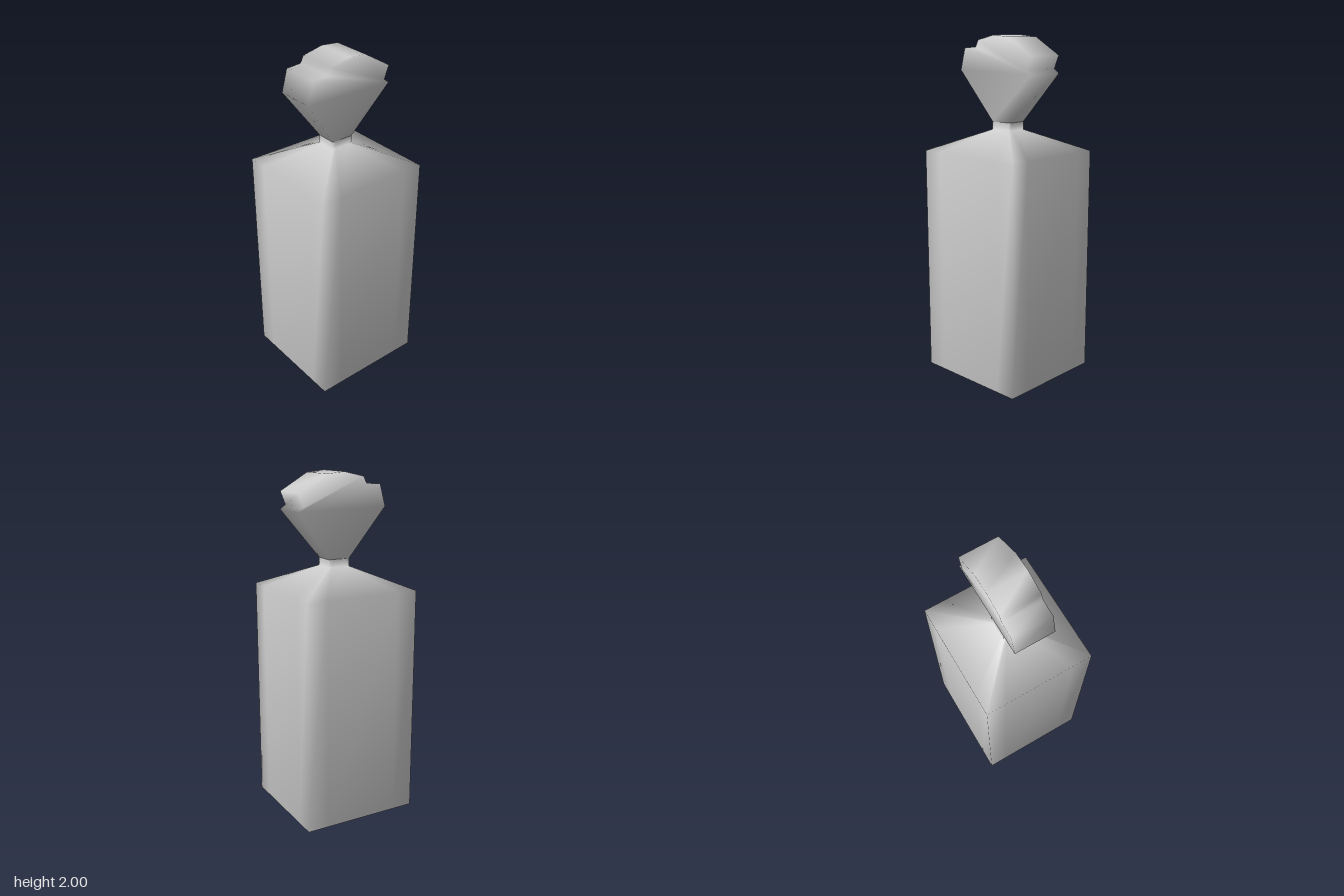
import * as THREE from 'three';

const material = new THREE.MeshStandardMaterial({ color: 0xcccccc, side: THREE.DoubleSide });

function makeMesh(name, positions, indices) {
  const geometry = new THREE.BufferGeometry();
  geometry.setAttribute('position', new THREE.Float32BufferAttribute(positions, 3));
  geometry.setIndex(indices);
  geometry.computeVertexNormals();
  const mesh = new THREE.Mesh(geometry, material);
  mesh.name = name;
  return mesh;
}

// Square sack: rectangular rings from the floor up to the pinched neck
function createSack() {
  const rings = [ // y, half width, half depth
    [0, 0.35, 0.33], [1.34, 0.35, 0.33], [1.465, 0.066, 0.06], [1.51, 0.066, 0.06],
  ];
  const corners = [[1, 1], [1, -1], [-1, -1], [-1, 1]];
  const steps = [0, 0.18, 0.82]; // a corner and two inner columns per side
  const n = corners.length * steps.length;
  const positions = [], indices = [];

  for (const [y, w, d] of rings) {
    corners.forEach(([x, z], i) => {
      const [nx, nz] = corners[(i + 1) % 4];
      for (const t of steps) positions.push(w * (x + (nx - x) * t), y, d * (z + (nz - z) * t));
    });
  }
  for (let r = 0; r < rings.length - 1; r++) {
    for (let i = 0; i < n; i++) {
      const a = r * n + i, b = r * n + (i + 1) % n;
      indices.push(a, b, b + n, a, b + n, a + n);
    }
  }
  // Floor of the sack
  const centre = positions.length / 3;
  positions.push(0, 0, 0);
  for (let i = 0; i < n; i++) indices.push(centre, (i + 1) % n, i);
  return makeMesh('sack', positions, indices);
}

// Gathered top: a ragged fan outline, thin at the neck and thicker above
function createGatheredTop() {
  const outline = [
    [-0.066, 1.51], [0.066, 1.51], [0.283, 1.79], [0.25, 1.815], [0.28, 1.89],
    [0.11, 1.99], [0, 2], [-0.125, 1.972], [-0.145, 1.933], [-0.235, 1.926], [-0.27, 1.8],
  ];
  const n = outline.length;
  const positions = [], indices = [];
  for (const side of [1, -1]) {
    outline.forEach(([x, y], i) => positions.push(x, y, side * (i < 2 ? 0.06 : 0.115)));
  }

  // Front and back faces: tapered lower panel, then the flat crown
  const crown = outline.slice(2).map(([x, y]) => new THREE.Vector2(x, y));
  const faces = THREE.ShapeUtils.triangulateShape(crown, []).map((f) => f.map((i) => i + 2));
  faces.push([0, 1, 2], [0, 2, n - 1]);
  for (const [a, b, c] of faces) indices.push(a, b, c, a + n, c + n, b + n);

  // Rim all round, left open where it meets the neck
  for (let i = 1; i < n; i++) {
    const j = (i + 1) % n;
    indices.push(i, i + n, j + n, i, j + n, j);
  }
  return makeMesh('gatheredTop', positions, indices);
}

export function createModel() {
  const group = new THREE.Group();
  group.name = 'tiedSack';
  group.add(createSack(), createGatheredTop());
  return group;
}
